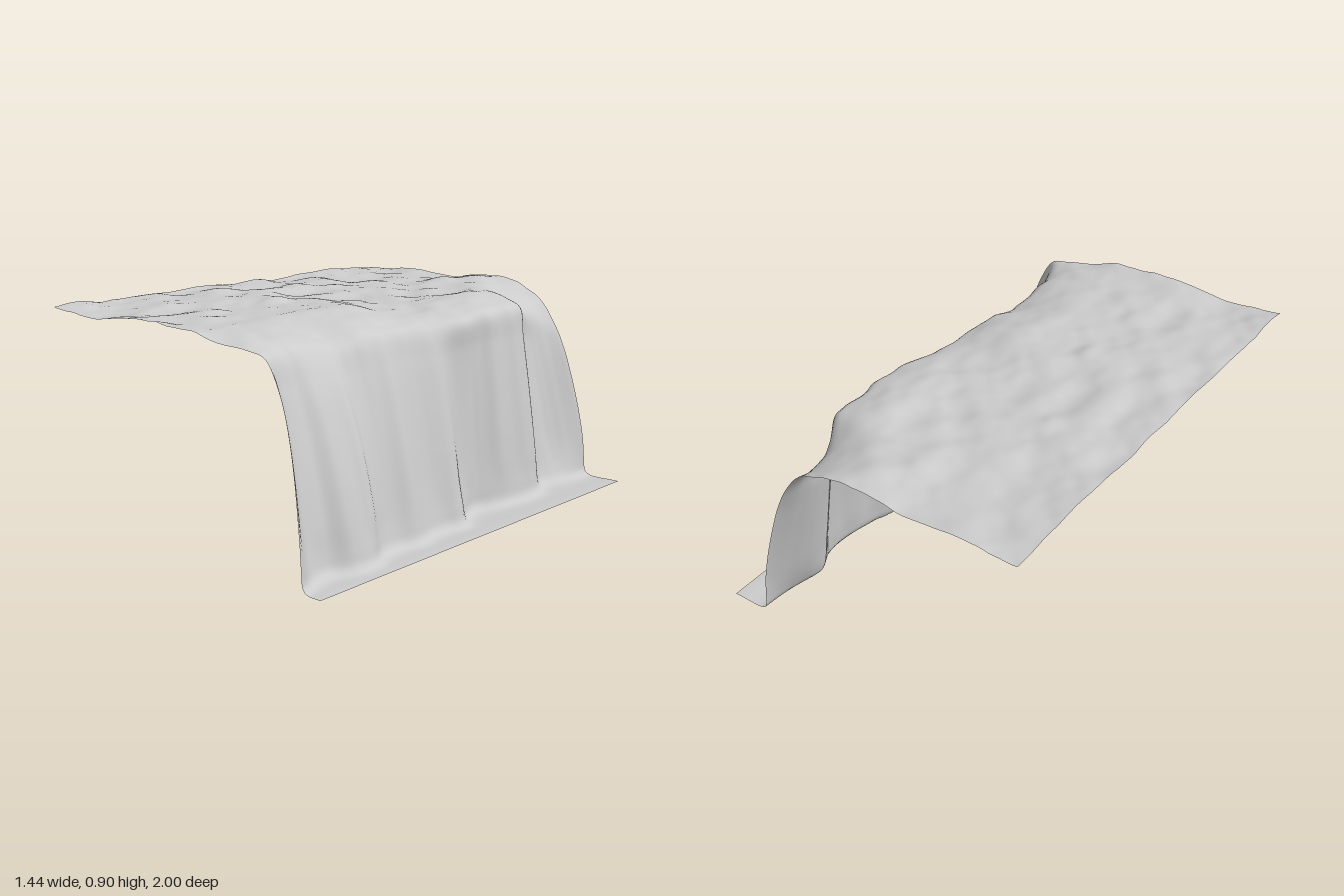
import * as THREE from 'three';

const { lerp, smoothstep, clamp } = THREE.MathUtils;

// smooth value noise from a small hash, range -1..1
const hash = (i, j) => {
  const s = Math.sin(i * 127.1 + j * 311.7) * 43758.5453;
  return (s - Math.floor(s)) * 2 - 1;
};
const fade = t => t * t * (3 - 2 * t);
function noise(x, z) {
  const i = Math.floor(x), j = Math.floor(z), u = fade(x - i), v = fade(z - j);
  return lerp(lerp(hash(i, j), hash(i + 1, j), u), lerp(hash(i, j + 1), hash(i + 1, j + 1), u), v);
}

// evenly spaced samples from z = -1 to z = 1, read as a smooth curve
const along = values => {
  const curve = new THREE.SplineCurve(values.map((v, i) => new THREE.Vector2(i, v)));
  return z => curve.getPoint(clamp((z + 1) / 2, 0, 1)).y;
};
const lipX = along([0.37, 0.34, 0.34, 0.37, 0.42, 0.43, 0.43, 0.44, 0.44, 0.43, 0.41, 0.39, 0.38, 0.38, 0.38, 0.36, 0.35, 0.35, 0.36, 0.39, 0.43]);
const footX = along([0.55, 0.55, 0.54, 0.52, 0.56, 0.57, 0.56, 0.54, 0.51, 0.54, 0.60, 0.59, 0.59, 0.61, 0.59, 0.60, 0.64, 0.64, 0.60, 0.61, 0.64]);
const lipY = along([0.69, 0.73, 0.76, 0.79, 0.81, 0.81, 0.81, 0.81, 0.80, 0.80, 0.80, 0.80, 0.80, 0.79, 0.79, 0.79, 0.79, 0.79, 0.79, 0.80, 0.80]);
// how far the face swells outward, 0 hollow to 1 full
const swell = along([0.85, 0.6, 0.15, 0, 0.45, 0.6, 0.5, 0.4, 0.2, 0.4, 0.8, 0.7, 0.7, 0.8, 0.65, 0.7, 0.9, 0.85, 0.65, 0.6, 1]);

// fall of the cliff face: [share from lip to foot where hollow, where full, height]
const fall = [
  [0.05, 0.30, 0.68], [0.20, 0.55, 0.52], [0.38, 0.75, 0.35],
  [0.56, 0.88, 0.20], [0.75, 0.95, 0.08], [0.90, 0.985, 0.025],
];

// one cross-section of the terrain at depth z
function section(z) {
  const L = lipX(z), F = footX(z), top = lipY(z), drop = 0.87 - top;
  const full = swell(z);
  const points = [
    [-0.72, 0.876], [-0.4, 0.878], [-0.1, 0.872], [0.08, 0.868],
    [L - 0.16, 0.87 - 0.2 * drop], [L - 0.07, 0.87 - 0.5 * drop], [L, top],
  ];
  for (const [a, b, y] of fall) points.push([L + (F - L) * lerp(a, b, full), y * top / 0.8]);
  points.push([F + 0.02, 0.007], [0.69, 0.005], [0.72, 0.004]);
  return new THREE.CatmullRomCurve3(points.map(([x, y]) => new THREE.Vector3(x, y, 0)), false, 'centripetal');
}

function terrainGeometry(nx, nz) {
  const positions = [], index = [];
  for (let j = 0; j <= nz; j++) {
    const z = -1 + 2 * j / nz;
    for (const p of section(z).getSpacedPoints(nx)) {
      const height = smoothstep(p.y, 0.02, 0.8);
      const face = smoothstep(p.y, 0.01, 0.2) * (1 - smoothstep(p.y, 0.78, 0.88));
      // gentle bumps on the plateau, upright folds on the cliff
      const bumps = 0.016 * noise(p.x * 4 + 9, z * 4) + 0.011 * noise(p.x * 9, z * 8 + 5) + 0.003 * noise(p.x * 20, z * 17);
      const folds = 0.011 * noise(z * 11, 3.5 + p.y * 1.5) + 0.004 * noise(z * 23, 8.5 + p.y);
      // the two end edges draw inward around the lip
      const bend = smoothstep(p.x, 0.1, 0.4) * smoothstep(p.y, 0.15, 0.75);
      const pull = z > 0 ? -0.045 : 0.03;
      positions.push(p.x + face * folds, Math.max(0, p.y + height * bumps), z + bend * pull * Math.pow(Math.abs(z), 8));
    }
  }
  const row = nx + 1;
  for (let j = 0; j < nz; j++) {
    for (let i = 0; i < nx; i++) {
      const a = j * row + i, b = a + row;
      index.push(a, b, b + 1, a, b + 1, a + 1);
    }
  }
  const geometry = new THREE.BufferGeometry();
  geometry.setAttribute('position', new THREE.Float32BufferAttribute(positions, 3));
  geometry.setIndex(index);
  geometry.computeVertexNormals();
  return geometry;
}

export function createModel() {
  const model = new THREE.Group();
  model.name = 'cliffTerrain';
  // one open sheet: plateau, cliff face and ground strip
  const material = new THREE.MeshStandardMaterial({ color: 0xcccccc, side: THREE.DoubleSide });
  const sheet = new THREE.Mesh(terrainGeometry(110, 150), material);
  sheet.name = 'cliffSurface';
  model.add(sheet);
  return model;
}
